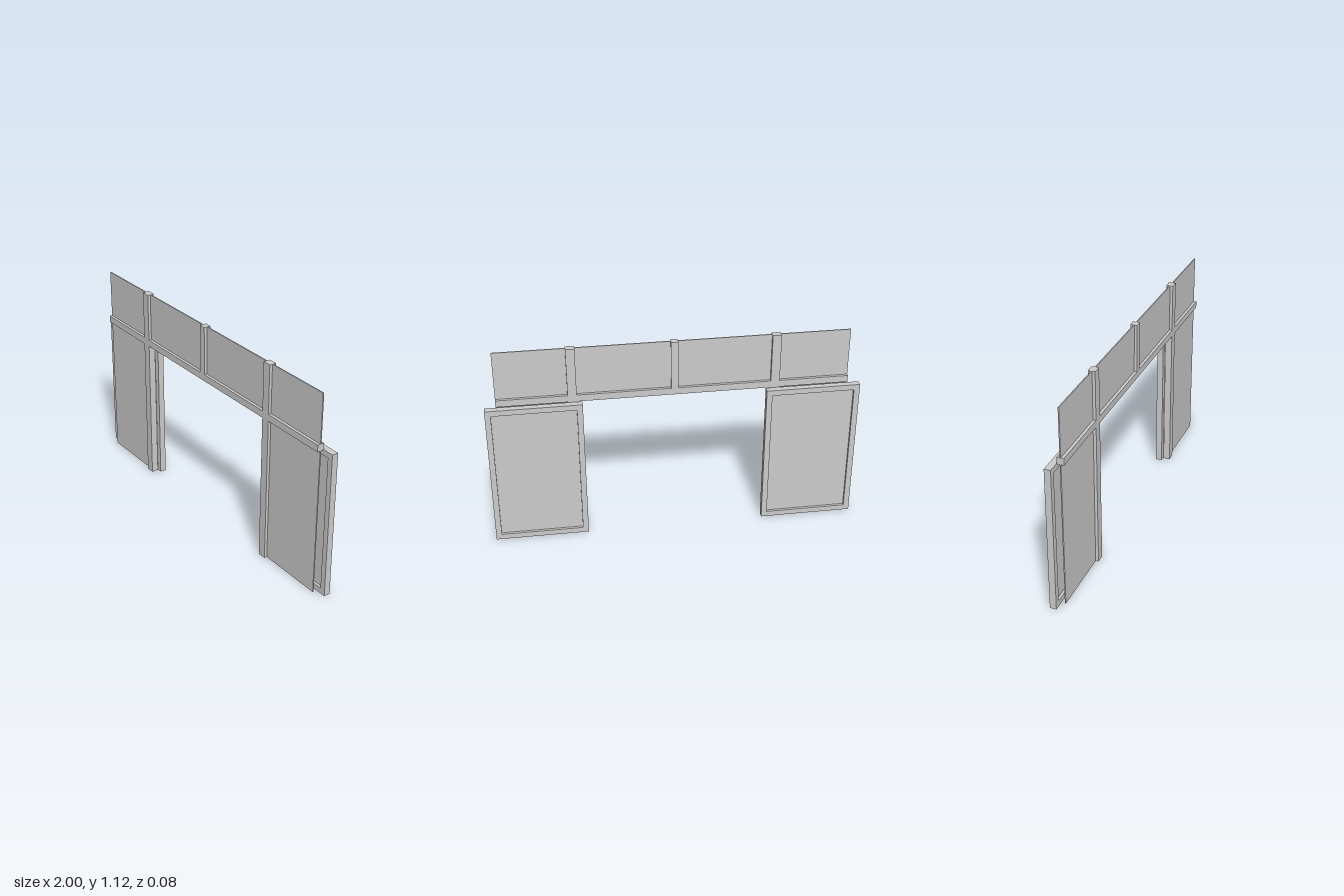
import * as THREE from 'three';

const material = new THREE.MeshStandardMaterial({ color: 0xcccccc });

// Box given by its lower and upper limits on each axis
function box(name, [x0, x1], [y0, y1], [z0, z1]) {
  const mesh = new THREE.Mesh(new THREE.BoxGeometry(x1 - x0, y1 - y0, z1 - z0), material);
  mesh.name = name;
  mesh.position.set((x0 + x1) / 2, (y0 + y1) / 2, (z0 + z1) / 2);
  return mesh;
}

// Sliding door leaf: rectangular frame around a thin pane
function slidingDoor(name, width, height, depth, border) {
  const door = new THREE.Group();
  door.name = name;
  const w = width / 2;
  const shape = new THREE.Shape([[-w, 0], [w, 0], [w, height], [-w, height]].map(p => new THREE.Vector2(...p)));
  const a = w - border, b = height - border;
  shape.holes.push(new THREE.Path([[-a, border], [-a, b], [a, b], [a, border]].map(p => new THREE.Vector2(...p))));
  const frame = new THREE.Mesh(new THREE.ExtrudeGeometry(shape, { depth, bevelEnabled: false }), material);
  frame.name = 'doorFrame';
  const mid = depth / 2;
  door.add(frame, box('doorPane', [-a, a], [border, b], [mid - 0.003, mid + 0.003]));
  return door;
}

export function createModel() {
  const model = new THREE.Group();
  model.name = 'slidingDoorFront';
  const frameZ = [0, 0.038], paneZ = [0.016, 0.022];
  const railY = [0.818, 0.856], top = 1.125, half = 0.94;
  const postIn = 0.517, postOut = 0.565, mullion = 0.019;

  // Rail across the opening and the short post above its middle
  model.add(box('transomRail', [-half, half], railY, frameZ));
  model.add(box('centreMullion', [-mullion, mullion], [railY[1], top], frameZ));

  for (const side of [-1, 1]) {
    const label = side > 0 ? 'left' : 'right';
    const span = (a, b) => side > 0 ? [a, b] : [-b, -a];

    // Posts beside the opening, below and above the rail
    model.add(box(label + 'Jamb', span(postIn, postOut), [0, railY[0]], frameZ));
    model.add(box(label + 'Mullion', span(postIn, postOut), [railY[1], top], frameZ));

    // Fixed panes
    model.add(box(label + 'SidePane', span(postOut, half), [0, railY[0]], paneZ));
    model.add(box(label + 'OuterTransomPane', span(postOut, half), [railY[1], top], paneZ));
    model.add(box(label + 'InnerTransomPane', span(mullion, postIn), [railY[1], top], paneZ));

    // Door leaf slid open behind the side pane
    const door = slidingDoor(label + 'Door', 0.51, 0.817, 0.035, 0.031);
    door.position.set(side * 0.745, 0, -0.038);
    model.add(door);
  }
  return model;
}
